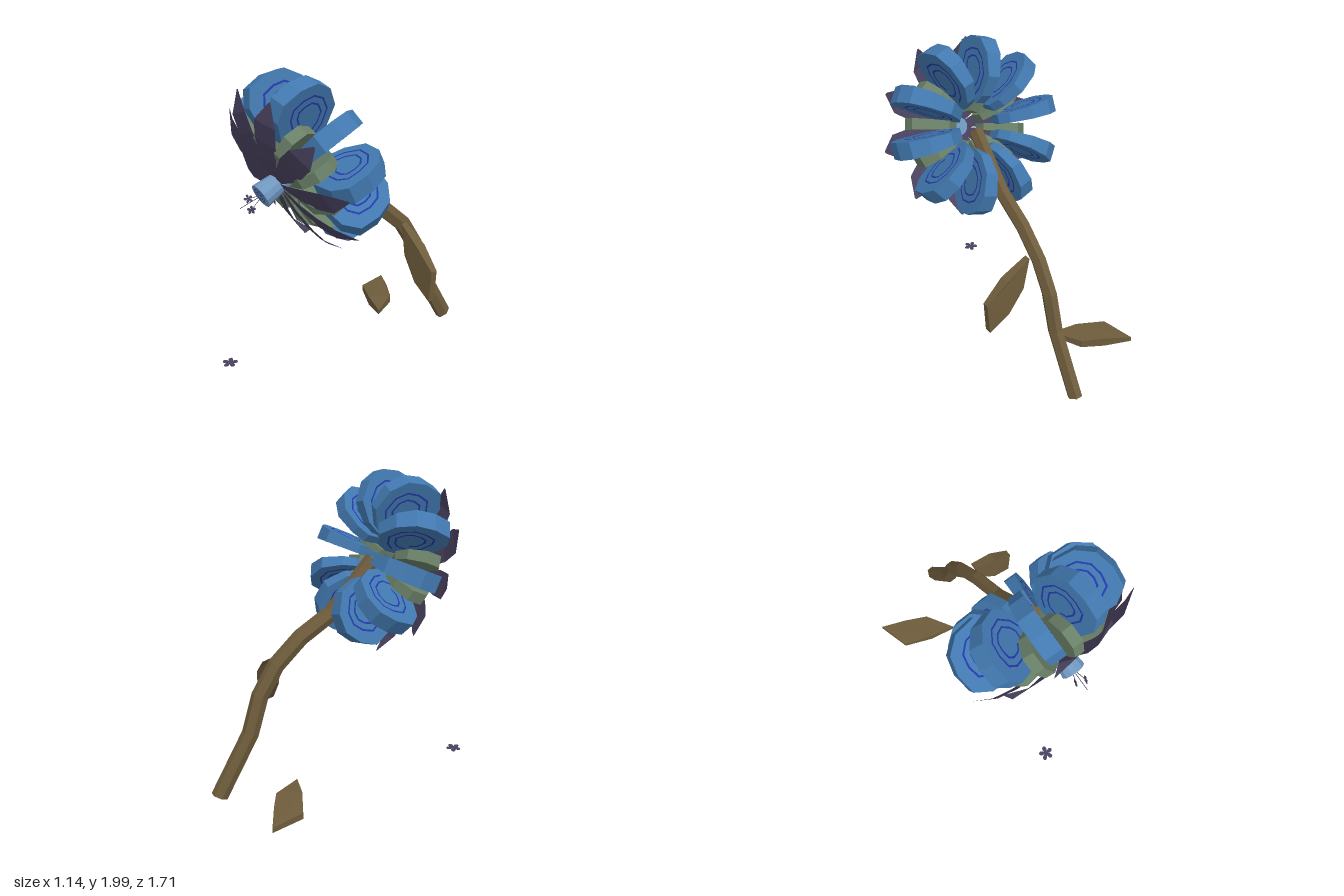
import * as THREE from 'three';

const mat = (color, side = THREE.FrontSide) =>
  new THREE.MeshStandardMaterial({ color, side, flatShading: true });
const blue = mat(0x4279b0), paleBlue = mat(0x7097c0), green = mat(0x6a8068), brown = mat(0x6e5c3c);
const ink = mat(0x2338a8, THREE.DoubleSide), purple = mat(0x4a4260, THREE.DoubleSide);

function add(parent, name, geometry, material) {
  const mesh = new THREE.Mesh(geometry, material);
  mesh.name = name;
  parent.add(mesh);
  return mesh;
}

const toShape = pts => new THREE.Shape(pts.map(p => new THREE.Vector2(p[0], p[1])));

// Slab from an outline; its thickness follows a rule of x
function slab(pts, thickness) {
  const geo = new THREE.ExtrudeGeometry(toShape(pts), { depth: 1, bevelEnabled: false });
  const p = geo.attributes.position;
  for (let i = 0; i < p.count; i++) p.setZ(i, (p.getZ(i) - 0.5) * thickness(p.getX(i)));
  geo.computeVertexNormals();
  return geo;
}

// Flat ribbon that winds inward, following a closed outline
function spiral(pts, centre, turns, from, to, width) {
  const n = pts.length, total = Math.round(n * turns), outer = [], inner = [];
  for (let i = 0; i <= total; i++) {
    const s = from + (to - from) * i / total, q = pts[i % n];
    const at = k => [centre[0] + (q[0] - centre[0]) * k, centre[1] + (q[1] - centre[1]) * k];
    outer.push(at(s));
    inner.unshift(at(s - width));
  }
  return new THREE.ShapeGeometry(toShape([...outer, ...inner]));
}

// Six-sided stem bent through points [y, z], slightly narrower across x
function stemGeometry(path, radius, x) {
  const rows = path.length - 1;
  const geo = new THREE.CylinderGeometry(radius, radius, 1, 6, rows);
  geo.rotateY(Math.PI / 2);
  const p = geo.attributes.position;
  for (let i = 0; i < p.count; i++) {
    const k = Math.round((p.getY(i) + 0.5) * rows);
    const a = path[Math.max(k - 1, 0)], b = path[Math.min(k + 1, rows)];
    const len = Math.hypot(b[0] - a[0], b[1] - a[1]);
    const ty = (b[0] - a[0]) / len, tz = (b[1] - a[1]) / len, d = p.getZ(i);
    p.setXYZ(i, x + p.getX(i) * 0.76, path[k][0] - tz * d, path[k][1] + ty * d);
  }
  geo.computeVertexNormals();
  return geo;
}

// Thin pointed petal along +x, bowed back at its tip and pitched very slightly
function petalGeometry() {
  const sections = [[0.05, 0.02, 0.2], [0.2, 0.055, 0.2], [0.34, 0.08, 0.185], [0.46, 0.078, 0.155], [0.57, 0.006, 0.085]];
  const geo = new THREE.PlaneGeometry(1, 1, 4, 2);
  const p = geo.attributes.position;
  for (let i = 0; i < p.count; i++) {
    const [r, w, n] = sections[Math.round((p.getX(i) + 0.5) * 4)];
    const side = p.getY(i) * 2;
    p.setXYZ(i, r, side * w, n + side * w * 0.14);
  }
  geo.computeVertexNormals();
  return geo;
}

// Tiny five-petalled blossom, flat in its own xy plane
function blossom(name, radius) {
  const pts = [];
  for (let i = 0; i < 40; i++) {
    const a = i / 40 * Math.PI * 2;
    const r = radius * (0.25 + 0.75 * Math.pow(Math.abs(Math.cos(a * 2.5)), 0.7));
    pts.push([Math.cos(a) * r, Math.sin(a) * r]);
  }
  const mesh = new THREE.Mesh(slab(pts, () => 0.005), purple);
  mesh.name = name;
  return mesh;
}

export function createModel() {
  const model = new THREE.Group();
  model.name = 'flower';

  // Stem, running up into the hollow of the head
  const path = [[0.038, -0.812], [0.435, -0.585], [0.685, -0.51], [0.87, -0.395], [1.025, -0.225], [1.15, -0.01], [1.46, 0.285]];
  add(model, 'stem', stemGeometry(path, 0.058, 0.018), brown);

  // Leaves: one upright beside the stem, one lying low
  const leafThickness = mid => x => 0.068 - 0.034 * Math.min(1, Math.abs(x - mid) / 0.18) ** 2;
  const upright = [[0.08, 0.9], [0.125, 0.69], [0.24, 0.54], [0.375, 0.45], [0.39, 0.67], [0.25, 0.8]];
  add(model, 'uprightLeaf', slab(upright, leafThickness(0.235)), brown).position.z = -0.362;
  const lying = [[-0.565, 0.69], [-0.515, 0.47], [-0.33, 0.39], [-0.155, 0.345], [-0.26, 0.535], [-0.4, 0.61]];
  const low = add(model, 'lowLeaf', slab(lying, leafThickness(-0.36)), brown);
  low.rotation.x = -Math.PI / 2;
  low.position.y = 0.112;

  // Flower head: its axis is local z, nodding forward
  const head = new THREE.Group();
  head.name = 'flowerHead';
  head.position.set(0.004, 1.45, 0.365);
  head.rotation.x = THREE.MathUtils.degToRad(25);
  model.add(head);

  // Outlines are [radius, distance along the axis]
  const lobeOutline = [[0.14, -0.12], [0.18, -0.2], [0.29, -0.286], [0.43, -0.274], [0.525, -0.2],
    [0.556, -0.085], [0.542, 0.04], [0.45, 0.105], [0.28, 0.11], [0.16, 0.02]];
  const lobeThickness = x => 0.04 + 0.125 * x;
  const lobe = slab(lobeOutline, lobeThickness);
  const marks = [1, -1].map(side => {
    const geo = spiral(lobeOutline, [0.35, -0.09], 1.9, 0.76, 0.34, 0.055);
    const p = geo.attributes.position;
    for (let i = 0; i < p.count; i++) p.setZ(i, side * (lobeThickness(p.getX(i)) / 2 + 0.002));
    return geo;
  });
  const greenOutline = [];
  for (let i = 0; i < 8; i++) {
    const a = (i + 0.5) / 8 * Math.PI * 2;
    greenOutline.push([0.25 + 0.165 * Math.cos(a), 0.058 + 0.138 * Math.sin(a)]);
  }
  const greenLobe = slab(greenOutline, x => 0.035 + 0.09 * x);
  for (const g of [lobe, greenLobe, ...marks]) g.rotateX(Math.PI / 2);
  const petal = petalGeometry();

  // Ten blue lobes with petals in front, green lobes in the gaps
  for (let i = 0; i < 10; i++) {
    const spoke = new THREE.Group();
    spoke.name = 'spoke';
    spoke.rotation.z = i * Math.PI / 5;
    head.add(spoke);
    add(spoke, 'blueLobe', lobe, blue);
    for (const m of marks) add(spoke, 'lobeSpiral', m, ink);
    add(spoke, 'petal', petal, purple);
    add(spoke, 'greenLobe', greenLobe, green).rotation.z = Math.PI / 10;
  }

  // Centre nub with a spiral on its face
  const nub = new THREE.CylinderGeometry(0.077, 0.06, 0.17, 12).rotateX(Math.PI / 2);
  add(head, 'centreNub', nub, paleBlue).position.z = 0.237;
  const ring = [];
  for (let i = 0; i < 12; i++) ring.push([Math.cos(i * Math.PI / 6), Math.sin(i * Math.PI / 6)]);
  const swirl = spiral(ring, [0, 0], 2.5, 0.06, 0.012, 0.006);
  add(head, 'centreSpiral', swirl, ink).position.z = 0.324;

  // Stamens fanning from the nub, two carrying tiny blossoms
  const root = new THREE.Vector3(0.005, 1.32, 0.64);
  for (const tip of [[0.02, 1.325, 0.745], [-0.015, 1.235, 0.71], [0, 1.27, 0.79]]) {
    const curve = new THREE.LineCurve3(root, new THREE.Vector3(...tip));
    add(model, 'stamen', new THREE.TubeGeometry(curve, 1, 0.002, 4), purple);
  }
  const upper = blossom('upperBlossom', 0.026);
  upper.position.set(0.02, 1.325, 0.745);
  upper.rotation.set(-0.7, 0.95, 0);
  const lower = blossom('lowerBlossom', 0.026);
  lower.position.set(-0.015, 1.235, 0.71);
  lower.rotation.set(0, 1.2, 0.3);
  const fallen = blossom('fallenBlossom', 0.05);
  fallen.position.set(-0.245, 0.1, 0.808);
  fallen.rotation.x = -Math.PI / 2;
  model.add(upper, lower, fallen);

  return model;
}
